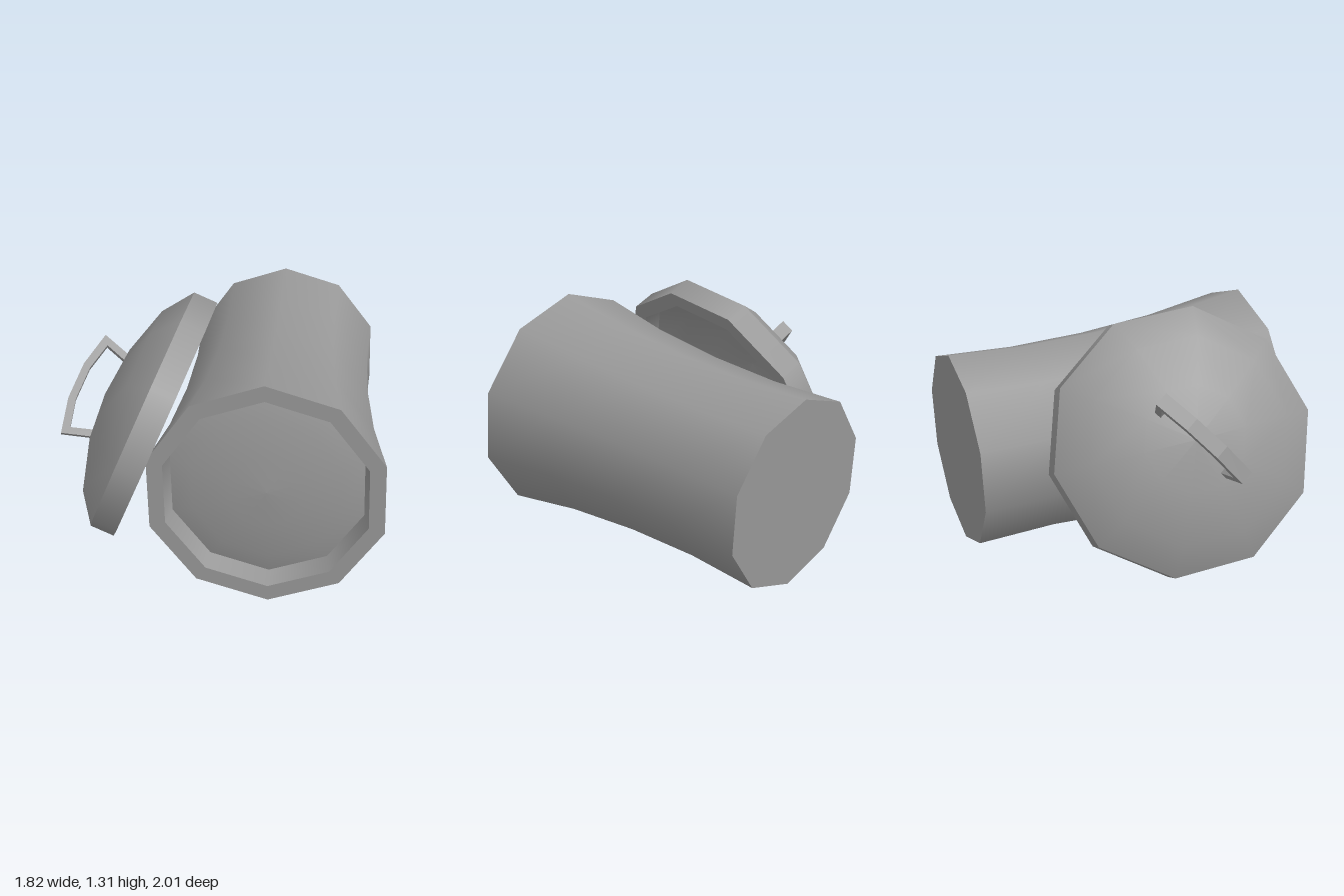
import * as THREE from 'three';

const SIDES = 10;
const material = new THREE.MeshStandardMaterial({ color: 0x999999 });

// Smooth ten-sided ring surface from a short profile of [radius, height]
function turned(name, profile) {
  const points = profile.map(([r, h]) => new THREE.Vector2(r, h));
  const mesh = new THREE.Mesh(new THREE.LatheGeometry(points, SIDES), material);
  mesh.name = name;
  return mesh;
}

// Group whose y runs along axis and whose first corner (z) points towards corner
function placed(name, origin, axis, corner) {
  const y = new THREE.Vector3(...axis).normalize();
  const x = new THREE.Vector3().crossVectors(y, new THREE.Vector3(...corner)).normalize();
  const z = new THREE.Vector3().crossVectors(x, y);
  const group = new THREE.Group();
  group.name = name;
  group.quaternion.setFromRotationMatrix(new THREE.Matrix4().makeBasis(x, y, z));
  group.position.set(...origin);
  return group;
}

// Waisted can lying on its side, opening to the front
function makeCan() {
  const can = placed('can', [-0.207, 0.521, -0.828], [0.56, 0.098, 1.55], [-0.02, 1, 0]);
  can.add(
    turned('canBase', [[0, 0], [0.521, 0]]),
    turned('canWall', [[0.521, 0], [0.503, 0.41], [0.515, 0.825], [0.553, 1.24], [0.622, 1.65]]),
    turned('canRim', [[0.622, 1.65], [0.537, 1.65]]),
    turned('canInnerWall', [[0.537, 1.65], [0.512, 1.54]]),
    turned('canFill', [[0.512, 1.54], [0.4, 1.573], [0.2, 1.601], [0, 1.61]]),
  );
  return can;
}

// Bowed strap handle, drawn as half an outline and mirrored
function makeHandle() {
  const outer = [[0.23, 0.15], [0.288, 0.34], [0.1, 0.382]];
  const inner = [[0.09, 0.343], [0.24, 0.308], [0.19, 0.15]];
  const flip = (list) => list.map(([x, y]) => [-x, y]).reverse();
  const outline = [...outer, ...flip(outer), ...flip(inner), ...inner];
  const shape = new THREE.Shape(outline.map(([x, y]) => new THREE.Vector2(x, y)));
  const width = 0.075;
  const geometry = new THREE.ExtrudeGeometry(shape, { depth: width, bevelEnabled: false });
  geometry.translate(0, 0, -width / 2);
  const handle = new THREE.Mesh(geometry, material);
  handle.name = 'lidHandle';
  handle.rotation.y = -0.65;
  return handle;
}

// Domed lid leaning against the can
function makeLid() {
  const lid = placed('lid', [-0.54, 0.682, 0.35], [-0.9, 0.38, 0.23], [0.28, 0.635, 0.05]);
  lid.add(
    turned('lidInside', [[0, 0.165], [0.25, 0.14], [0.45, 0.07], [0.59, -0.03]]),
    turned('lidInnerLip', [[0.59, -0.03], [0.605, -0.134]]),
    turned('lidRim', [[0.605, -0.134], [0.69, -0.134]]),
    turned('lidBand', [[0.69, -0.134], [0.69, 0]]),
    turned('lidDome', [[0.69, 0], [0.53, 0.115], [0.27, 0.19], [0, 0.215]]),
    makeHandle(),
  );
  return lid;
}

export function createModel() {
  const model = new THREE.Group();
  model.name = 'canWithLid';
  model.add(makeCan(), makeLid());
  return model;
}
